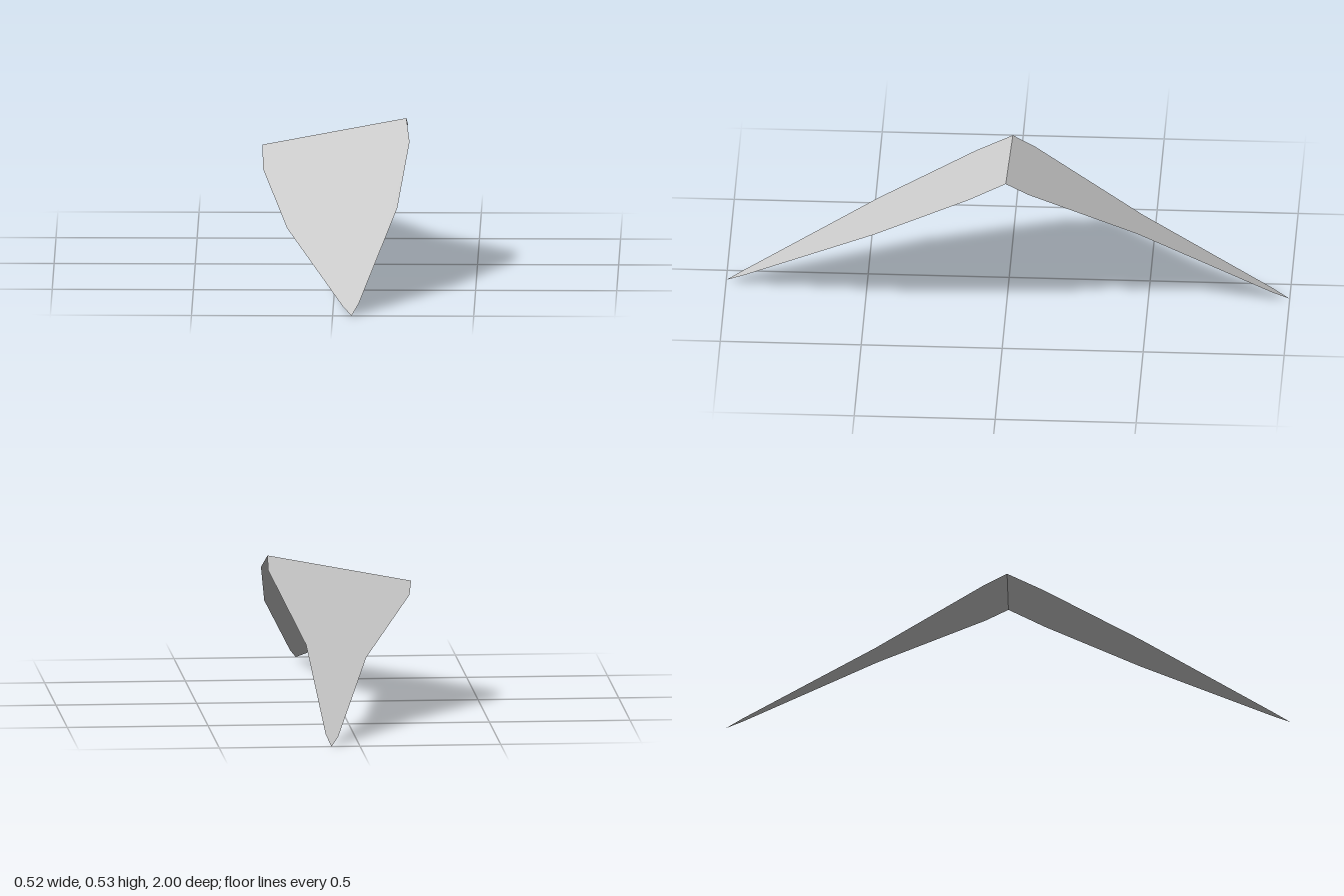
import * as THREE from 'three';

// Every outline point lies on one of two planes that meet at a sloping ridge.
const ridgeHeight = 0.48, sideSlope = 0.19;

function leafHalf(name, outline, direction, fall, material) {
  // Flat outline: x across, y as distance from the ridge
  const shape = new THREE.Shape(outline.map(([x, d]) => new THREE.Vector2(x, d)));
  const geometry = new THREE.ShapeGeometry(shape);
  const pos = geometry.attributes.position;
  // Fold the outline down along its plane
  for (let i = 0; i < pos.count; i++) {
    const x = pos.getX(i), d = pos.getY(i);
    pos.setXYZ(i, x, Math.max(0, ridgeHeight + sideSlope * x - fall * d), direction * d);
  }
  // Keep the upper side as the front of the faces
  if (direction < 0) geometry.index.array.reverse();
  geometry.index.array.reverse();
  geometry.computeVertexNormals();
  if (geometry.attributes.normal.getY(0) < 0) {
    geometry.index.array.reverse();
    geometry.computeVertexNormals();
  }
  const mesh = new THREE.Mesh(geometry, material);
  mesh.name = name;
  return mesh;
}

export function createModel() {
  const group = new THREE.Group();
  group.name = 'foldedLeaf';
  const grey = new THREE.MeshStandardMaterial({ color: 0xcccccc, side: THREE.DoubleSide });
  grey.name = 'lightGrey';

  // Broad front half
  const front = [
    [-0.262, 0], [-0.258, 0.13], [-0.168, 0.47], [0.035, 0.94], [0.067, 1],
    [0.092, 0.94], [0.222, 0.47], [0.261, 0.13], [0.248, 0],
  ];
  // Slender back half
  const back = [
    [-0.262, 0], [-0.25, 0.08], [-0.065, 0.47], [0.073, 0.94], [0.101, 1],
    [0.117, 0.94], [0.148, 0.46], [0.253, 0.08], [0.248, 0],
  ];
  group.add(
    leafHalf('frontHalf', front, 1, 0.493, grey),
    leafHalf('backHalf', back, -1, 0.499, grey),
  );
  return group;
}
